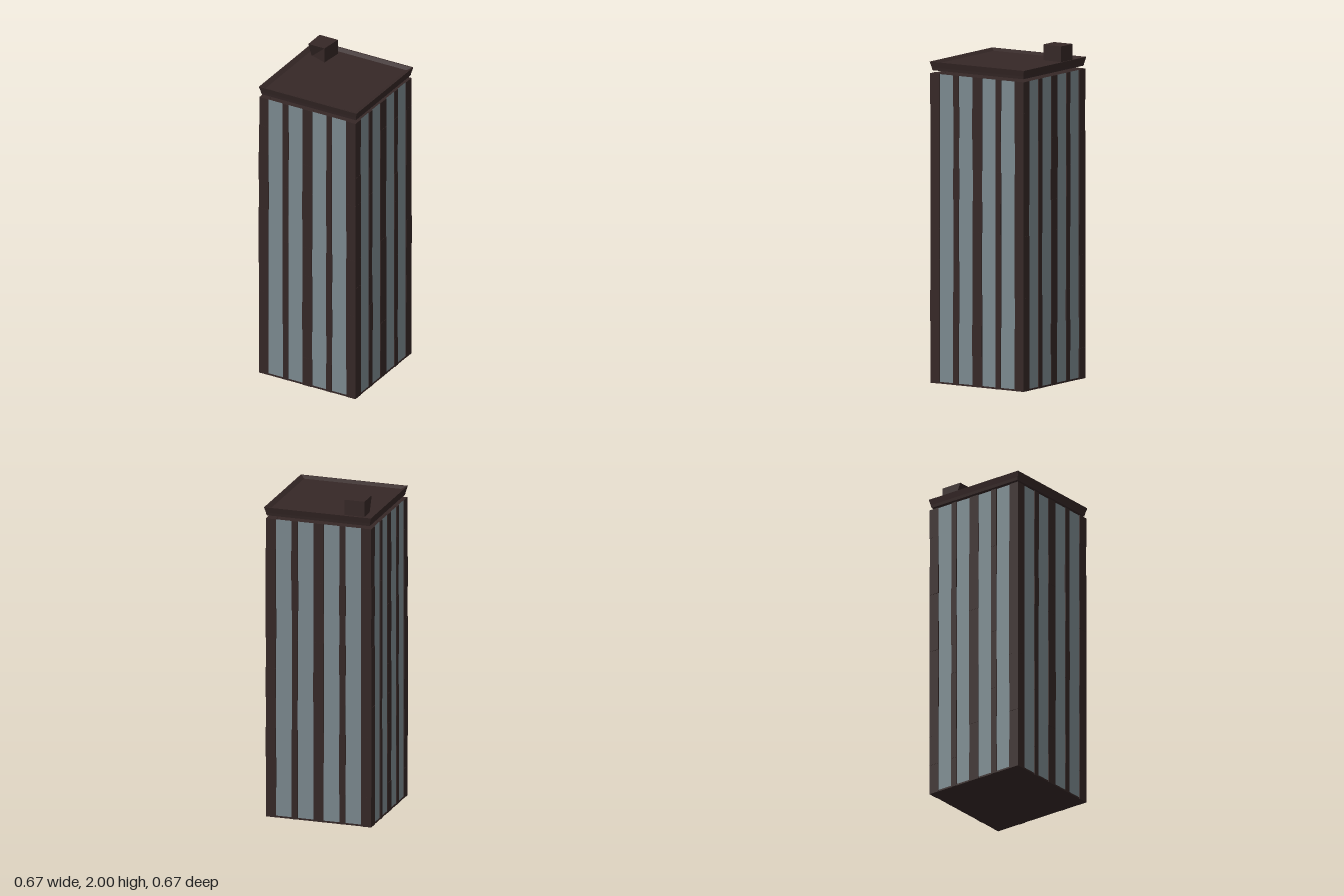
import * as THREE from 'three';
import { mergeGeometries } from 'three/addons/utils/BufferGeometryUtils.js';

const WALL_TOP = 1.85;
const FLOORS = 10;

export function createModel() {
  const glass = new THREE.MeshStandardMaterial({ color: 0x7b898f });
  const brown = new THREE.MeshStandardMaterial({ color: 0x352726 });
  glass.name = 'greyBlueGlass';
  brown.name = 'darkBrown';

  const model = new THREE.Group();
  model.name = 'tower';
  const add = (name, geometry, material, parent = model) => {
    const mesh = new THREE.Mesh(geometry, material);
    mesh.name = name;
    parent.add(mesh);
    return mesh;
  };

  // Small seeded generator for the uneven stonework
  let seed = 7;
  const jitter = (amount) => {
    seed = (seed * 16807) % 2147483647;
    return (seed / 2147483647 - 0.5) * 2 * amount;
  };

  const walls = new THREE.Group();
  walls.name = 'walls';
  walls.position.set(-0.004, 0, 0.003);
  model.add(walls);

  // Glazed core, with brown top and underside
  const core = new THREE.BoxGeometry(0.65, WALL_TOP - 0.002, 0.65);
  core.translate(0, WALL_TOP / 2, 0);
  add('glazing', core, [glass, glass, brown, brown, glass, glass], walls);

  // Plinth strip at the ground
  const plinth = new THREE.BoxGeometry(0.656, 0.01, 0.656);
  plinth.translate(0, 0.005, 0);
  add('plinth', plinth, brown, walls);

  // Slightly irregular pilasters, one block per floor on each side
  const floorHeight = WALL_TOP / FLOORS;
  const strips = [[-0.149, 0.038], [0, 0.066], [0.149, 0.038]];
  for (let side = 0; side < 4; side++) {
    const blocks = [];
    for (const [x, width] of strips) {
      for (let i = 0; i < FLOORS; i++) {
        const block = new THREE.BoxGeometry(width + jitter(0.003), floorHeight, 0.02);
        block.translate(x + jitter(0.001), (i + 0.5) * floorHeight, 0.32 + jitter(0.0015));
        blocks.push(block);
      }
    }
    const pilasters = add('pilasters', mergeGeometries(blocks), brown, walls);
    pilasters.rotation.y = side * Math.PI / 2;
  }

  // Corner posts
  for (const sx of [-1, 1]) {
    for (const sz of [-1, 1]) {
      const blocks = [];
      for (let i = 0; i < FLOORS; i++) {
        const size = 0.064 + jitter(0.002);
        const block = new THREE.BoxGeometry(size, floorHeight, size);
        block.translate(sx * (0.298 + jitter(0.001)), (i + 0.5) * floorHeight, sz * (0.298 + jitter(0.001)));
        blocks.push(block);
      }
      add('cornerPost', mergeGeometries(blocks), brown, walls);
    }
  }

  // Floating roof slab with flared edge and a shallow dished top
  const profile = [
    [0, 1.868], [0.322, 1.868], [0.325, 1.885], [0.334, 1.92], [0.327, 1.92], [0.304, 1.906], [0, 1.906],
  ].map(([half, y]) => new THREE.Vector2(half * Math.SQRT2, y));
  const roof = new THREE.LatheGeometry(profile, 4).rotateY(Math.PI / 4).toNonIndexed();
  roof.computeVertexNormals();
  add('roof', roof, brown);

  // Skewed rooftop housing
  const box = new THREE.BoxGeometry(1, 1, 1);
  const p = box.attributes.position;
  for (let i = 0; i < p.count; i++) {
    const right = p.getX(i) > 0, top = p.getY(i) > 0, front = p.getZ(i) > 0;
    const x = right ? (front ? -0.163 : -0.149) : -0.274;
    const z = front ? (!right && !top ? -0.185 : -0.144) : -0.277;
    p.setXYZ(i, x, top ? 2 : 1.9, z);
  }
  const housing = box.toNonIndexed();
  housing.computeVertexNormals();
  add('rooftopHousing', housing, brown);

  return model;
}
